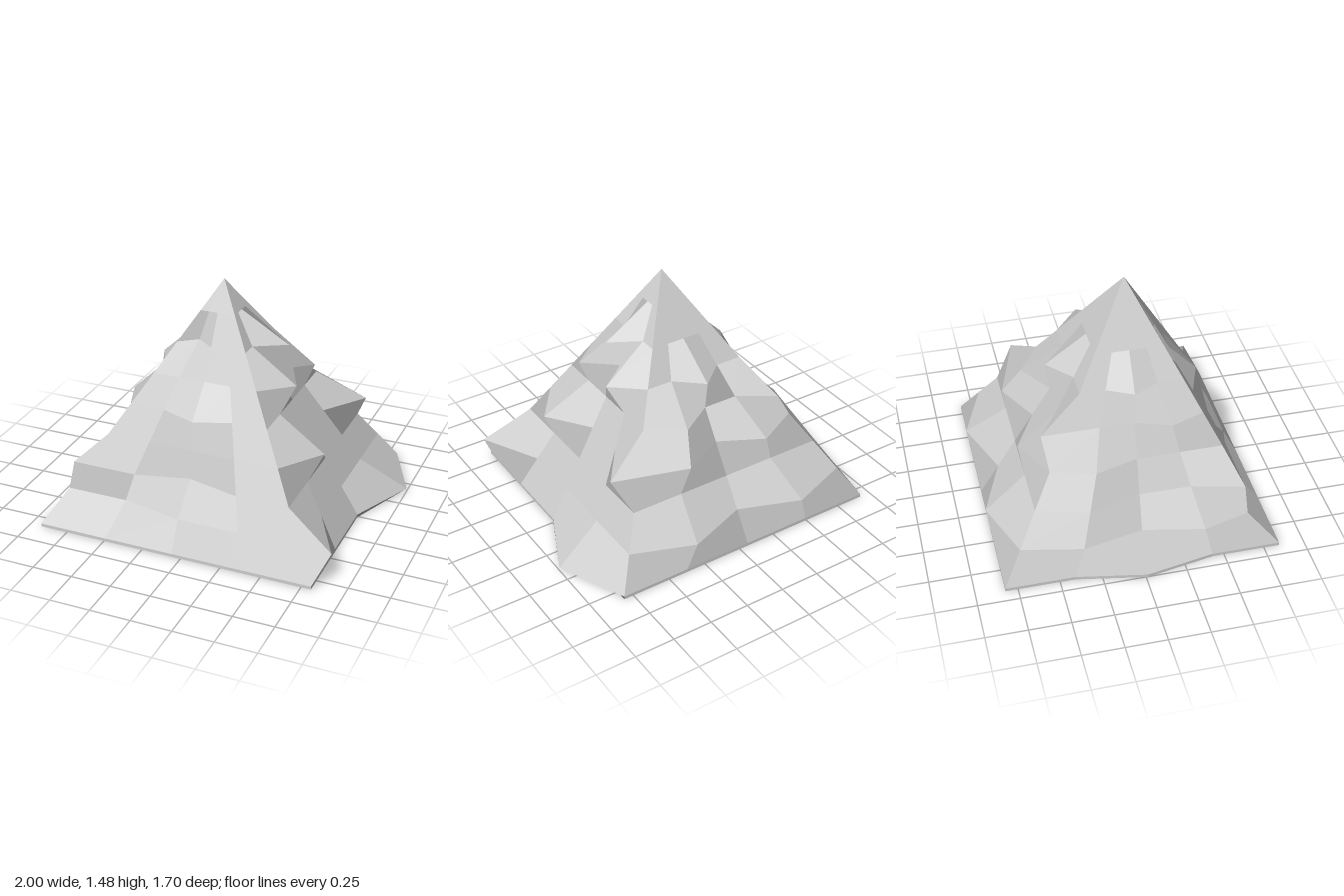
import * as THREE from 'three';

const LEVELS = 8, COLS = 4, RING = COLS * 4;
const apex = new THREE.Vector3(-0.035, 1.475, 0.09);
const base = { x0: -0.925, x1: 0.81, z0: -0.825, z1: 0.845, y: 0.02 };

// Outcrops and dents: direction of push, then [level, ring index] of each pushed point.
// The ring runs front (0-4), +x side (4-8), back (8-12), -x side (12-16).
const pushes = [
  { x: 0.19, z: 0, at: [[0, 7], [1, 4], [3, 5], [3, 8], [5, 5], [5, 7], [6, 6]] },
  { x: 0, z: -0.14, at: [[1, 9], [1, 11], [3, 9], [3, 11], [4, 9], [4, 12], [5, 10]] },
  { x: -0.078, z: 0, at: [[0, 14], [1, 13], [1, 15], [2, 13], [2, 0], [3, 13], [4, 15], [5, 14]] },
  { x: 0, z: 0.08, at: [[4, 2]] },
  { x: 0, z: -0.08, at: [[1, 0], [1, 1], [2, 2], [6, 1]] },
];

// Point on the square footprint, counter-clockwise seen from above, from the front corner at -x
function footprint(i) {
  const side = Math.floor(i / COLS), t = (i % COLS) / COLS;
  const { x0, x1, z0, z1, y } = base;
  const lerp = THREE.MathUtils.lerp;
  if (side === 0) return new THREE.Vector3(lerp(x0, x1, t), y, z1);
  if (side === 1) return new THREE.Vector3(x1, y, lerp(z1, z0, t));
  if (side === 2) return new THREE.Vector3(lerp(x1, x0, t), y, z0);
  return new THREE.Vector3(x0, y, lerp(z0, z1, t));
}

// Rings shrinking towards the peak, with the rocky pushes applied
function makeRings() {
  const rings = [];
  for (let k = 0; k < LEVELS; k++) {
    rings.push(Array.from({ length: RING }, (_, i) => footprint(i).lerp(apex, k / LEVELS)));
  }
  for (const p of pushes) {
    for (const [k, i] of p.at) {
      rings[k][i].x += p.x;
      rings[k][i].z += p.z;
    }
  }
  return rings;
}

// Collects facets, each shaded with one normal across its whole area
class Facets {
  points = [];
  normals = [];

  add(a, b, c, d) {
    const across = new THREE.Vector3().subVectors(c, a);
    const other = new THREE.Vector3().subVectors(d ?? c, b);
    const normal = across.cross(other).normalize();
    const corners = d ? [a, b, c, a, c, d] : [a, b, c];
    for (const p of corners) {
      this.points.push(...p.toArray());
      this.normals.push(...normal.toArray());
    }
  }

  band(low, high) {
    for (let i = 0; i < RING; i++) {
      const j = (i + 1) % RING;
      this.add(low[i], low[j], high[j], high[i]);
    }
  }

  fan(ring, tip) {
    for (let i = 0; i < RING; i++) this.add(ring[i], ring[(i + 1) % RING], tip);
  }

  mesh(name, material) {
    const geometry = new THREE.BufferGeometry();
    geometry.setAttribute('position', new THREE.Float32BufferAttribute(this.points, 3));
    geometry.setAttribute('normal', new THREE.Float32BufferAttribute(this.normals, 3));
    const mesh = new THREE.Mesh(geometry, material);
    mesh.name = name;
    return mesh;
  }
}

export function createModel() {
  const group = new THREE.Group();
  group.name = 'mountain';
  const material = new THREE.MeshStandardMaterial({ color: 0xcccccc });
  const rings = makeRings();

  // Rocky slopes up to the peak
  const slopes = new Facets();
  for (let k = 0; k < LEVELS - 1; k++) slopes.band(rings[k], rings[k + 1]);
  slopes.fan(rings[LEVELS - 1], apex);
  group.add(slopes.mesh('slopes', material));

  // Thin foot and flat underside; the large spur overhangs the foot
  const foot = rings[0].map((p, i) => (i === 7 ? footprint(i) : p.clone()).setY(0));
  const footing = new Facets();
  footing.band(foot, rings[0]);
  footing.fan([...foot].reverse(), new THREE.Vector3(-0.05, 0, 0));
  group.add(footing.mesh('foot', material));

  return group;
}
